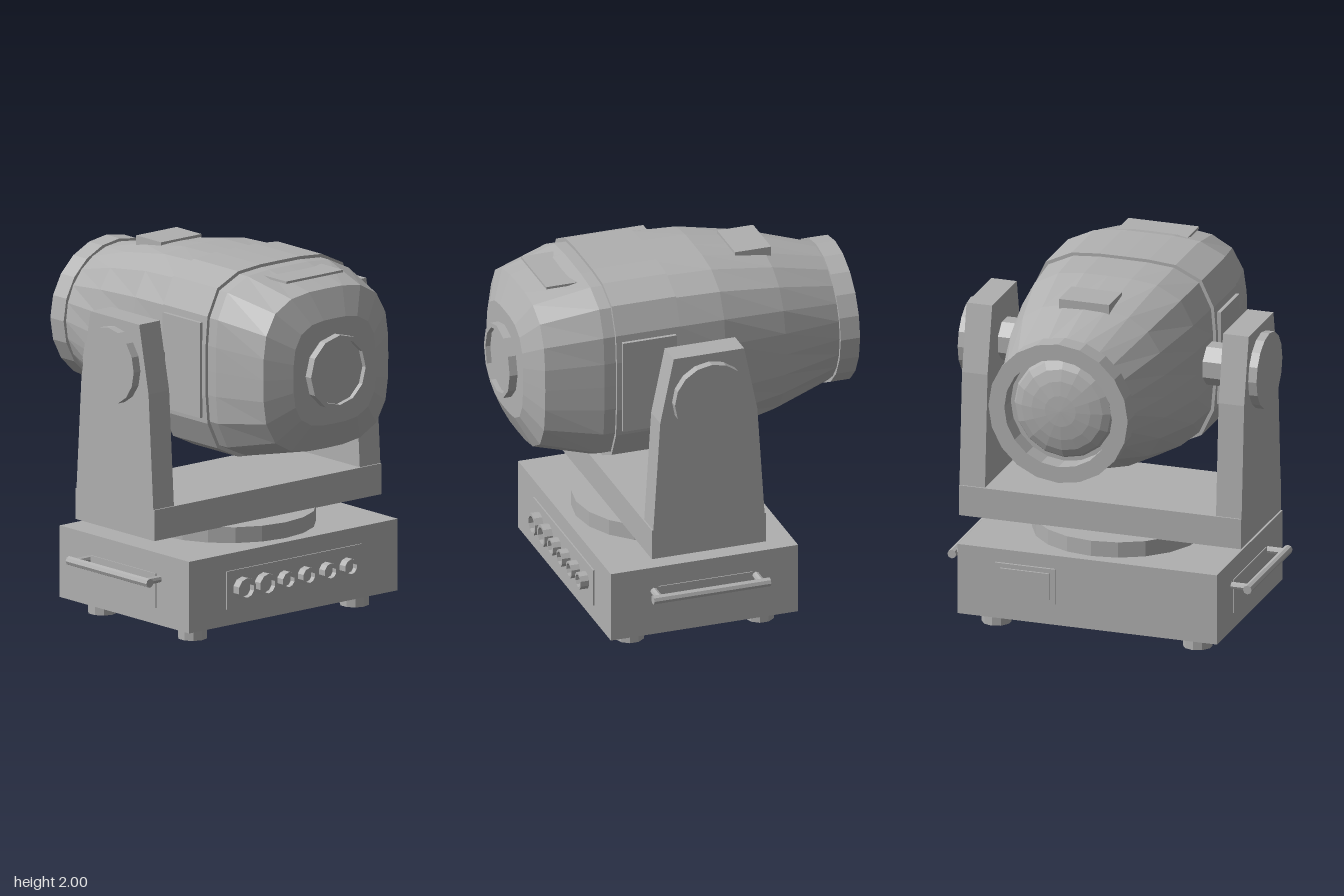
import * as THREE from 'three';

const HEAD_Y = 1.475;
const AXLE_Z = 0.04;

// Rounded-square loft along z; each section is [z, halfSize, exponent] from front to back
function loft(sections, n = 24) {
  const pos = [], idx = [];
  for (const [z, half, e] of sections) {
    for (let j = 0; j < n; j++) {
      const a = (j / n) * Math.PI * 2, c = Math.cos(a), s = Math.sin(a);
      const r = half * Math.pow(Math.abs(c) ** e + Math.abs(s) ** e, -1 / e);
      pos.push(r * c, r * s, z);
    }
  }
  for (let i = 0; i < sections.length - 1; i++) {
    for (let j = 0; j < n; j++) {
      const k = (j + 1) % n, a = i * n + j, b = a + n, c = (i + 1) * n + k, d = i * n + k;
      idx.push(a, b, d, b, c, d);
    }
  }
  const g = new THREE.BufferGeometry();
  g.setAttribute('position', new THREE.Float32BufferAttribute(pos, 3));
  g.setIndex(idx);
  g.computeVertexNormals();
  return g;
}

// Open ring whose axis is z, from z = 0 to z = depth
function ring(outer, inner, depth, sides) {
  const pts = [[inner, 0], [outer, 0], [outer, depth], [inner, depth], [inner, 0]];
  return new THREE.LatheGeometry(pts.map(p => new THREE.Vector2(...p)), sides).rotateX(Math.PI / 2);
}

export function createModel() {
  const model = new THREE.Group();
  const grey = new THREE.MeshStandardMaterial({ color: 0xb0b0b0, flatShading: true });
  grey.name = 'housing grey';

  const add = (name, geo, x = 0, y = 0, z = 0, parent = model) => {
    const m = new THREE.Mesh(geo, grey);
    m.name = name;
    m.position.set(x, y, z);
    parent.add(m);
    return m;
  };
  // Box given by its limits on each axis
  const box = (name, x0, x1, y0, y1, z0, z1, parent = model) =>
    add(name, new THREE.BoxGeometry(x1 - x0, y1 - y0, z1 - z0),
      (x0 + x1) / 2, (y0 + y1) / 2, (z0 + z1) / 2, parent);
  const cylX = (r, len, sides) => new THREE.CylinderGeometry(r, r, len, sides).rotateZ(Math.PI / 2);

  // Base with feet and turntable
  box('base', -0.735, 0.735, 0.08, 0.475, -0.49, 0.575);
  for (const x of [-0.57, 0.57])
    for (const z of [0.41, -0.33])
      add('foot', new THREE.CylinderGeometry(0.08, 0.08, 0.08, 10), x, 0.04, z);
  add('turntable', new THREE.CylinderGeometry(0.47, 0.47, 0.09, 20), 0, 0.517, AXLE_Z);

  // Front connector panel
  box('connectorPanel', -0.475, 0.475, 0.17, 0.38, 0.57, 0.583);
  [-0.37, -0.22, -0.075, 0.07, 0.22, 0.365].forEach((x, i) => {
    const r = i < 2 ? 0.062 : 0.048;
    add('connectorRing', ring(r, r * 0.75, 0.05, 10), x, 0.275, 0.58);
    add('connectorCore', new THREE.CylinderGeometry(r * 0.76, r * 0.76, 0.02, 10).rotateX(Math.PI / 2), x, 0.275, 0.59);
  });

  // Rear panel
  box('rearPanel', 0.18, 0.52, 0.2, 0.4, -0.503, -0.48);
  box('rearPanelPlate', 0.21, 0.49, 0.225, 0.375, -0.514, -0.5);

  // Yoke cross bar
  box('yokeBar', -0.8, 0.8, 0.56, 0.73, -0.285, 0.365);

  const arm = new THREE.Shape([
    [0.357, 0.72], [-0.277, 0.72], [-0.235, 1.36], [-0.16, 1.73], [0.24, 1.73], [0.317, 1.36],
  ].map(p => new THREE.Vector2(...p)));

  for (const s of [-1, 1]) {
    const side = new THREE.Group();
    side.name = s > 0 ? 'leftSide' : 'rightSide';
    model.add(side);
    // Yoke arm, pivot cap and axle
    const armGeo = new THREE.ExtrudeGeometry(arm, { depth: 0.145, bevelEnabled: false })
      .rotateY(-Math.PI / 2).translate(0.0725, 0, 0);
    add('yokeArm', armGeo, s * 0.7275, 0, 0, side);
    add('pivotCap', cylX(0.21, 0.055, 16), s * 0.82, HEAD_Y, AXLE_Z, side);
    add('axle', cylX(0.117, 0.2, 8).rotateX(Math.PI / 8), s * 0.57, HEAD_Y, AXLE_Z, side);
    // Head side panel
    box('headSidePanel', s * 0.53 - 0.01, s * 0.53 + 0.01, 1.21, 1.735, 0.13, 0.435, side);
    // Carry handle and its plate
    box('handlePlate', s * 0.735 - 0.006, s * 0.735 + 0.006, 0.17, 0.36, -0.23, 0.305, side);
    add('handleBar', new THREE.CylinderGeometry(0.025, 0.025, 0.665, 8).rotateX(Math.PI / 2), s * 0.838, 0.335, AXLE_Z, side);
    for (const z of [0.33, -0.25])
      add('handlePost', cylX(0.02, 0.11, 8), s * 0.785, 0.335, z, side);
  }

  // Head housing: rounded square at the front, round at the back
  add('headHousing', loft([
    [0.915, 0, 2], [0.915, 0.29, 3.3], [0.842, 0.44, 3.3], [0.53, 0.508, 4], [0.1, 0.508, 4],
    [-0.16, 0.505, 3.5], [-0.52, 0.457, 2.7], [-0.86, 0.377, 2], [-0.86, 0, 2],
  ]), 0, HEAD_Y, 0);
  add('headBand', loft([[0.465, 0.49, 4], [0.465, 0.525, 4], [0.1, 0.525, 4], [0.1, 0.49, 4]]), 0, HEAD_Y, 0);

  // Plates on top of the head
  box('frontTopPlate', -0.2, 0.2, 1.955, 1.968, 0.5, 0.75);
  box('rearTopPlate', -0.145, 0.14, 1.9, 1.968, -0.55, -0.345);

  // Round fitting on the closed end
  add('endRing', ring(0.205, 0.18, 0.05, 12), 0, HEAD_Y, 0.91);
  add('endDisc', new THREE.CylinderGeometry(0.182, 0.182, 0.025, 12).rotateX(Math.PI / 2), 0, HEAD_Y, 0.92);

  // Lens rim and domed lens
  add('lensRim', ring(0.395, 0.305, 0.11, 20), 0, HEAD_Y, -0.965);
  const dome = new THREE.SphereGeometry(1, 16, 5, 0, Math.PI * 2, 0, Math.PI / 2)
    .rotateX(-Math.PI / 2).scale(0.285, 0.285, 0.075);
  add('lens', dome, 0, HEAD_Y, -0.858);

  return model;
}
